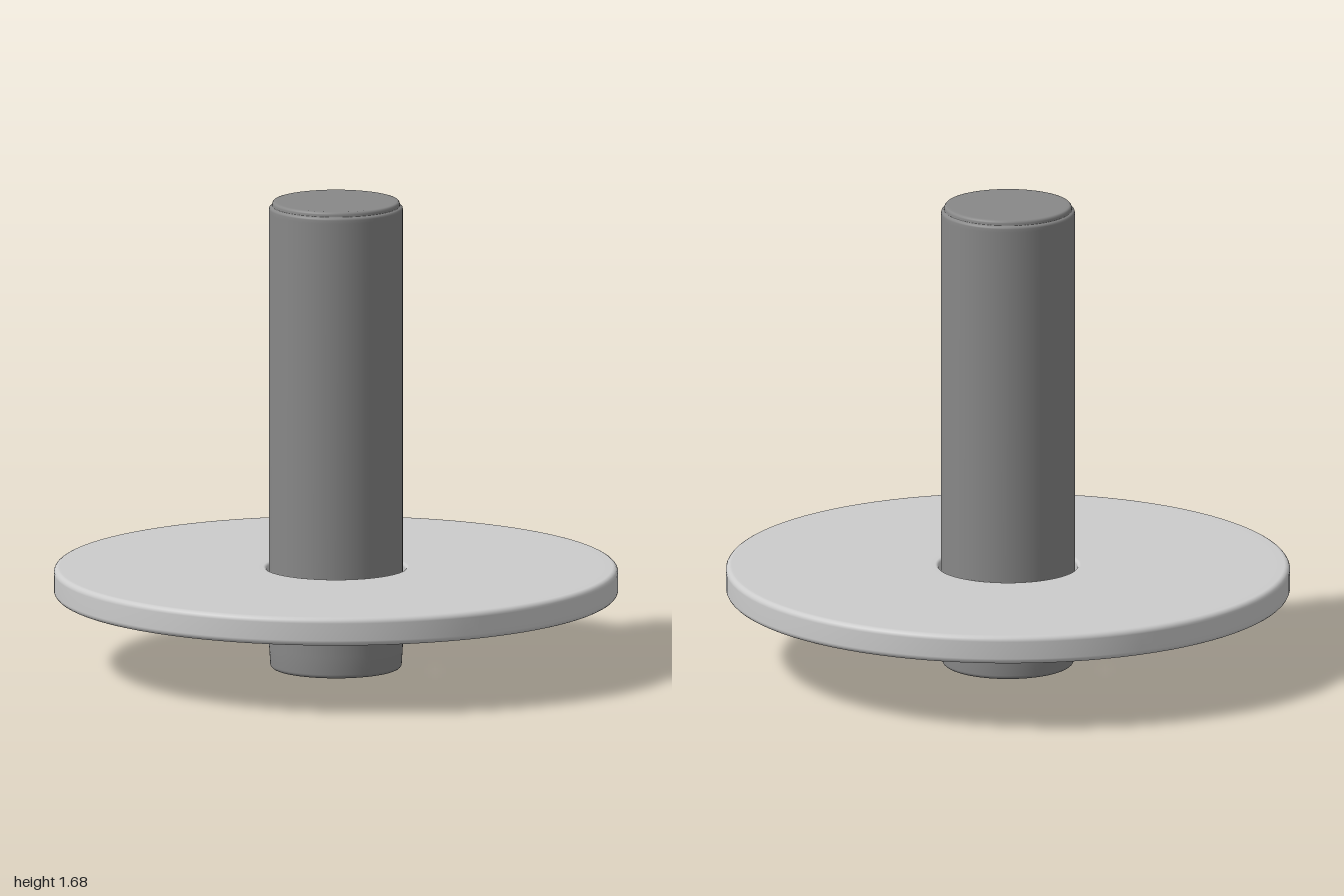
import * as THREE from 'three';

const SEGMENTS = 96;

// Points of a quarter-round corner, swept counter-clockwise from angle a0
function corner(cx, cy, rx, ry, a0, steps = 5) {
  return Array.from({ length: steps + 1 }, (_, i) => {
    const a = a0 + (i / steps) * Math.PI / 2;
    return new THREE.Vector2(cx + rx * Math.cos(a), cy + ry * Math.sin(a));
  });
}

function lathe(name, points, color) {
  const mesh = new THREE.Mesh(
    new THREE.LatheGeometry(points, SEGMENTS),
    new THREE.MeshStandardMaterial({ color })
  );
  mesh.name = name;
  return mesh;
}

export function createModel() {
  const group = new THREE.Group();
  group.name = 'discOnRod';
  const p = (x, y) => new THREE.Vector2(x, y);

  // Solid rod: softly rounded foot, small stepped rim at the top
  group.add(lathe('rod', [
    p(0, 0), p(0.21, 0),
    ...corner(0.219, 0.014, 0.014, 0.014, -Math.PI / 2),
    p(0.237, 0.08), p(0.237, 1.64),
    ...corner(0.227, 1.652, 0.01, 0.01, 0, 3),
    p(0.226, 1.664),
    ...corner(0.216, 1.67, 0.01, 0.01, 0, 3),
    p(0.205, 1.68), p(0, 1.68),
  ], 0x888888));

  // Flat ring with rounded edges, leaving a thin gap around the rod
  const r = 0.02, bottom = 0.26, top = 0.362, inner = 0.246, outer = 1;
  const mid = (bottom + top) / 2;
  group.add(lathe('disc', [
    p(inner, mid),
    ...corner(inner + 0.012, bottom + 0.012, 0.012, 0.012, Math.PI),
    p(inner + 0.03, bottom), p(outer - 0.05, bottom),
    ...corner(outer - r, bottom + r, r, r, -Math.PI / 2),
    ...corner(outer - r, top - r, r, r, 0),
    p(outer - 0.05, top), p(inner + 0.03, top),
    ...corner(inner + 0.012, top - 0.012, 0.012, 0.012, Math.PI / 2),
    p(inner, mid),
  ], 0xcccccc));

  return group;
}
